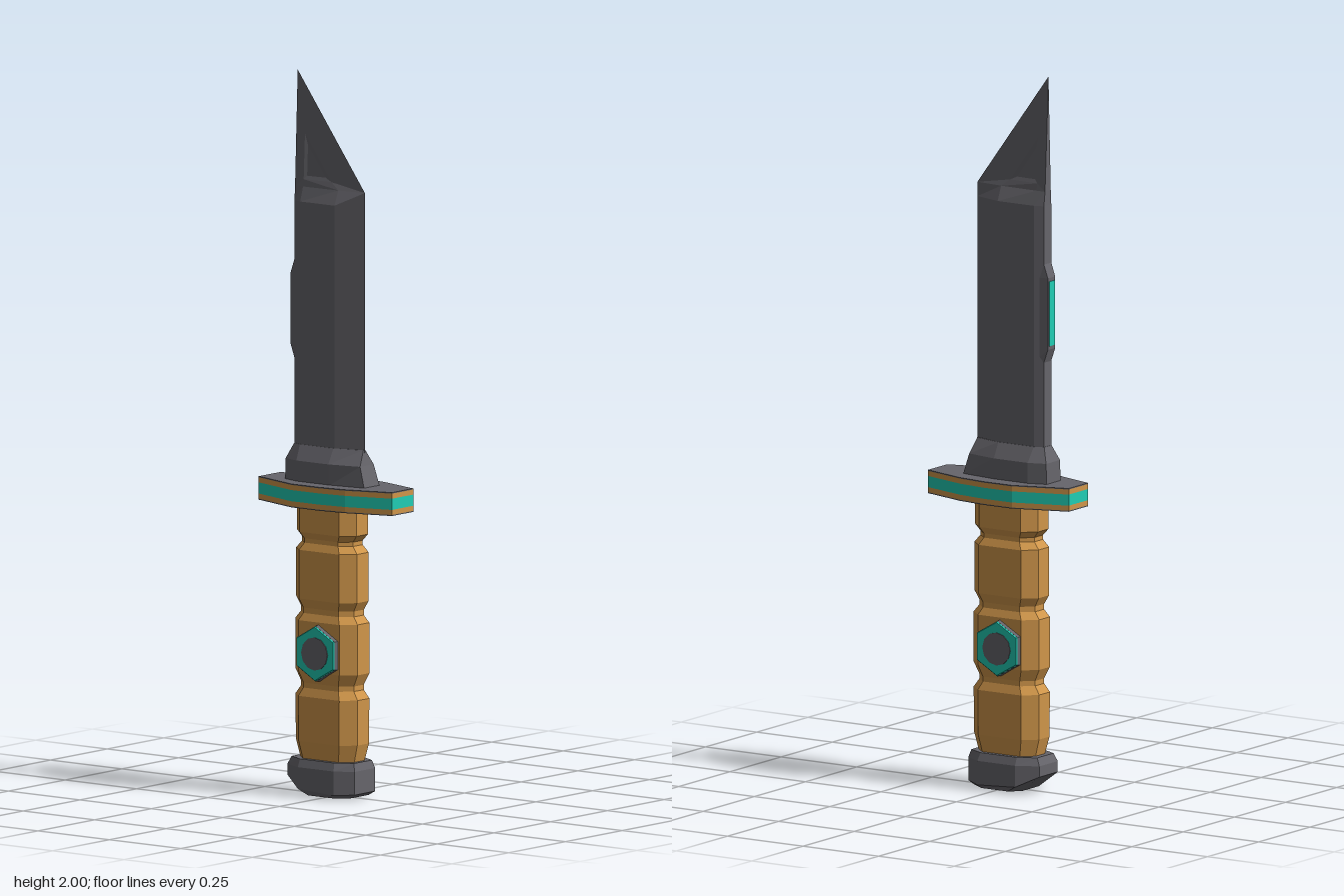
import * as THREE from 'three';

const makeMaterial = (name, color) => {
  const m = new THREE.MeshStandardMaterial({ color, flatShading: true });
  m.name = name;
  return m;
};

// Flat-faced mesh from a list of triangles (three [x, y, z] corners each)
function trianglesMesh(name, tris, material) {
  const geo = new THREE.BufferGeometry();
  geo.setAttribute('position', new THREE.Float32BufferAttribute(tris.flat(2), 3));
  geo.computeVertexNormals();
  const mesh = new THREE.Mesh(geo, material);
  mesh.name = name;
  return mesh;
}

// Closed ring from a half outline [x, z], front to back; y is a number or one per point
function ring(half, y) {
  const right = half.map(([x, z], i) => [x, Array.isArray(y) ? y[i] : y, z]);
  const left = right.filter(p => p[0] > 0).reverse().map(([x, h, z]) => [-x, h, z]);
  return [...right, ...left];
}

// Skin over rings from bottom to top, closed at both ends
function loft(name, rings, material) {
  const tris = [];
  const n = rings[0].length;
  for (let r = 0; r < rings.length - 1; r++) {
    const a = rings[r], b = rings[r + 1];
    for (let i = 0; i < n; i++) {
      const j = (i + 1) % n;
      tris.push([a[i], a[j], b[j]], [a[i], b[j], b[i]]);
    }
  }
  const low = rings[0], top = rings[rings.length - 1];
  for (let i = 1; i < n - 1; i++) {
    tris.push([low[0], low[i + 1], low[i]], [top[0], top[i], top[i + 1]]);
  }
  return trianglesMesh(name, tris, material);
}

function cylinder(name, rTop, rBottom, height, sides, material) {
  const mesh = new THREE.Mesh(new THREE.CylinderGeometry(rTop, rBottom, height, sides), material);
  mesh.name = name;
  return mesh;
}

export function createModel() {
  const steel = makeMaterial('steel gray', 0x66656b);
  const grip = makeMaterial('grip orange', 0xd0964a);
  const teal = makeMaterial('accent teal', 0x20cdb5);
  const model = new THREE.Group();
  model.name = 'knife';

  // Blade body: sharp front edge, flat sides, bevelled spine
  const body = [[0, 0.1], [0.027, 0.015], [0.027, -0.105], [0.018, -0.132]];
  const shoulder = [[0, 0.1], [0.01, 0.015], [0.014, -0.105], [0.014, -0.133]];
  model.add(loft('blade', [ring(body, 0.9), ring(body, 1.64), ring(shoulder, 1.68)], steel));

  // Slanted tip with a recessed triangle on each side
  const [E, B, C, S] = shoulder.map(([x, z]) => [x, 1.68, z]);
  const T = [0, 2, -0.135];
  const onTip = (y, z, depth) => {
    const edgeZ = 0.1 - 0.235 * (y - 1.68) / 0.32;
    return [0.06 * (edgeZ - z) - depth, y, z];
  };
  const Q = onTip(1.7, -0.012, 0), R = onTip(1.7, -0.105, 0), P = onTip(1.828, -0.105, 0);
  const q = onTip(1.71, -0.034, 0.003), r = onTip(1.71, -0.096, 0.003), p = onTip(1.795, -0.096, 0.003);
  const side = [
    [E, B, Q], [B, C, R], [B, R, Q], [C, S, R], [S, T, R], [R, T, P], [P, T, Q], [T, E, Q],
    [Q, R, r], [Q, r, q], [R, P, p], [R, p, r], [P, Q, q], [P, q, p], [q, r, p],
  ];
  const flip = ([x, y, z]) => [-x, y, z];
  const otherSide = side.map(([a, b, c]) => [flip(a), flip(c), flip(b)]);
  model.add(trianglesMesh('bladeTip', [...side, ...otherSide, [S, flip(S), T]], steel));

  // Raised block on the spine with its accent strip
  const bump = back => [[0.025, -0.1], [0.018, back]];
  model.add(loft('spineBlock', [
    ring(bump(-0.131), 1.2), ring(bump(-0.145), 1.24), ring(bump(-0.145), 1.44), ring(bump(-0.131), 1.48),
  ], steel));
  const strip = new THREE.Mesh(new THREE.BoxGeometry(0.026, 0.18, 0.004), teal);
  strip.name = 'spineStrip';
  strip.position.set(0, 1.34, -0.145);
  model.add(strip);

  // Collar between guard and blade
  const collar = [[0.034, 0.125], [0.05, 0.012], [0.05, -0.1], [0.034, -0.152]];
  const collarMid = [[0.03, 0.107], [0.05, 0.012], [0.05, -0.1], [0.034, -0.15]];
  const collarTop = [[0.004, 0.098], [0.028, 0.012], [0.028, -0.105], [0.018, -0.133]];
  model.add(loft('collar', [ring(collar, 0.865), ring(collarMid, 0.925), ring(collarTop, 0.967)], steel));

  // Guard: layered plates sharing one outline
  const guard = [[0.047, 0.232], [0.087, 0.1], [0.098, 0.015], [0.098, -0.08], [0.047, -0.234]];
  const layers = [
    ['guardBottom', 0.803, 0.806, steel], ['guardLowerRim', 0.806, 0.82, grip],
    ['guardStripe', 0.82, 0.851, teal], ['guardUpperRim', 0.851, 0.865, grip],
    ['guardTop', 0.865, 0.868, steel],
  ];
  for (const [name, y0, y1, mat] of layers) {
    model.add(loft(name, [ring(guard, y0), ring(guard, y1)], mat));
  }

  // Grip: swelling segments parted by narrow notches
  const outline = [[0.026, 0.095], [0.06, 0.058], [0.06, -0.085], [0.026, -0.122]];
  const gripRows = [
    [0.09, 0.84], [0.15, 0.99], [0.275, 1], [0.298, 0.85], [0.312, 0.85], [0.345, 1],
    [0.485, 1], [0.505, 0.85], [0.52, 0.85], [0.545, 0.98], [0.68, 0.98],
    [0.7, 0.82], [0.712, 0.82], [0.73, 0.96], [0.805, 0.96],
  ];
  model.add(loft('grip', gripRows.map(([y, s]) =>
    ring(outline.map(([x, z]) => [x * s, -0.013 + (z + 0.013) * s]), y)), grip));

  // Six-sided button on each side of the grip
  for (const s of [1, -1]) {
    const button = new THREE.Group();
    button.name = s > 0 ? 'leftButton' : 'rightButton';
    const base = cylinder('buttonBase', 0.077, 0.08, 0.025, 6, steel);
    const face = cylinder('buttonFace', 0.074, 0.077, 0.004, 6, teal);
    const disc = cylinder('buttonDisc', 0.046, 0.046, 0.003, 12, steel);
    base.position.y = 0.0605;
    face.position.y = 0.0745;
    disc.position.y = 0.077;
    button.add(base, face, disc);
    // Lay the axis along x with hexagon points up and down
    button.children.forEach(m => m.geometry.rotateY(Math.PI / 2));
    button.rotation.z = -s * Math.PI / 2;
    button.position.set(0, 0.4, -0.015);
    model.add(button);
  }

  // Pommel with a cut-off back corner
  const pommel = [[0.045, 0.1], [0.075, 0.05], [0.075, -0.075], [0.045, -0.135]];
  const pommelTop = [[0.04, 0.093], [0.066, 0.045], [0.066, -0.075], [0.04, -0.125]];
  const pommelBase = [[0.042, 0.08], [0.068, 0.04], [0.068, -0.045], [0.042, -0.075]];
  model.add(loft('pommel', [
    ring(pommelBase, 0.004), ring(pommel, [0.016, 0.013, 0.02, 0.05]),
    ring(pommel, 0.08), ring(pommelTop, 0.102),
  ], steel));
  const pommelPlate = cylinder('pommelPlate', 0.066, 0.066, 0.004, 6, teal);
  pommelPlate.position.set(0, 0.004, 0);
  const pommelDisc = cylinder('pommelDisc', 0.042, 0.042, 0.003, 12, steel);
  pommelDisc.position.set(0, 0.0015, 0);
  model.add(pommelPlate, pommelDisc);

  return model;
}
